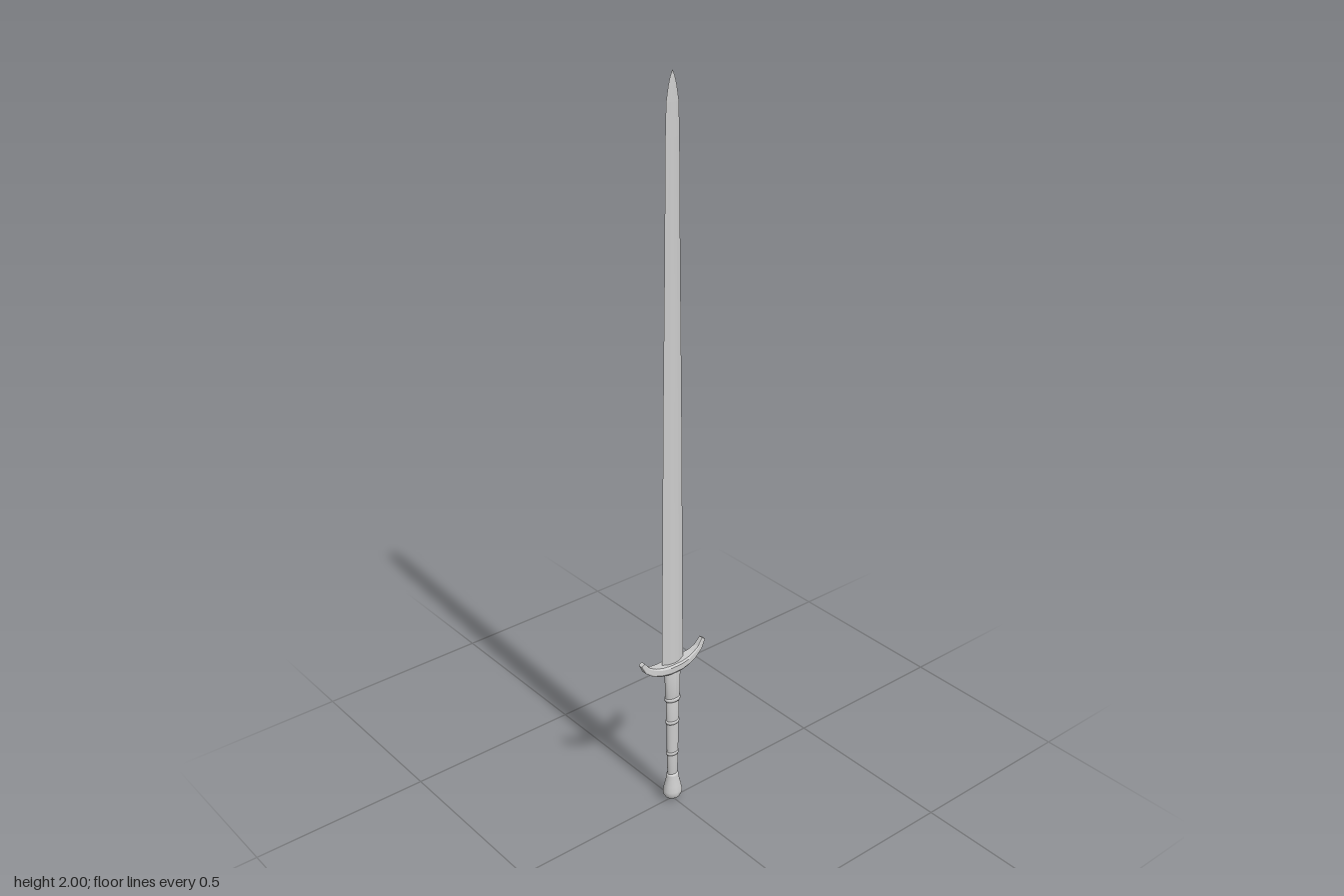
import * as THREE from 'three';

const material = new THREE.MeshStandardMaterial({ color: 0xcccccc });
const flatMaterial = new THREE.MeshStandardMaterial({ color: 0xcccccc, flatShading: true });

// Skin a row of equal-length rings and cap both ends
function loft(rings) {
  const n = rings[0].length;
  const index = [];
  for (let i = 0; i < rings.length - 1; i++) {
    for (let j = 0; j < n; j++) {
      const k = (j + 1) % n;
      const a = i * n + j, b = i * n + k;
      index.push(a, b, b + n, a, b + n, a + n);
    }
  }
  const last = (rings.length - 1) * n;
  for (let j = 1; j < n - 1; j++) {
    index.push(0, j + 1, j, last, last + j, last + j + 1);
  }
  const geometry = new THREE.BufferGeometry();
  geometry.setAttribute('position', new THREE.Float32BufferAttribute(rings.flat(2), 3));
  geometry.setIndex(index);
  const flat = geometry.toNonIndexed();
  flat.computeVertexNormals();
  return flat;
}

// Turned part squashed front to back
function turned(name, profile, depth) {
  const geometry = new THREE.LatheGeometry(profile.map(([r, y]) => new THREE.Vector2(r, y)), 20);
  geometry.scale(1, 1, depth);
  geometry.computeVertexNormals();
  const mesh = new THREE.Mesh(geometry, material);
  mesh.name = name;
  return mesh;
}

function createBlade() {
  // height, half width, half thickness
  const stations = [
    [0.43, 0.036, 0.0105], [0.8, 0.033, 0.0095], [1.2, 0.029, 0.008], [1.55, 0.024, 0.0065],
    [1.85, 0.021, 0.005], [1.93, 0.0185, 0.004], [1.965, 0.0125, 0.003],
    [1.985, 0.007, 0.002], [2, 0.0005, 0.0005],
  ];
  // Lens section with a central ridge
  const section = [[1, 0], [0.4, -0.8], [0, -1], [-0.4, -0.8], [-1, 0], [-0.4, 0.8], [0, 1], [0.4, 0.8]];
  const rings = stations.map(([y, w, t]) => section.map(([x, z]) => [x * w, y, z * t]));
  const mesh = new THREE.Mesh(loft(rings), flatMaterial);
  mesh.name = 'blade';
  return mesh;
}

function createGuard() {
  // x, y, half height, half depth from the centre to one tip
  const half = [
    [0, 0.434, 0.0135, 0.02], [0.02, 0.434, 0.0135, 0.0195], [0.045, 0.437, 0.0125, 0.0165],
    [0.068, 0.444, 0.011, 0.0125], [0.088, 0.457, 0.009, 0.0095], [0.103, 0.48, 0.006, 0.007],
  ];
  const mirrored = half.slice(1).reverse().map(([x, ...rest]) => [-x, ...rest]);
  const path = [...mirrored, ...half];
  const section = [[1, -0.8], [1, 0.8], [0.6, 1], [-0.6, 1], [-1, 0.8], [-1, -0.8], [-0.6, -1], [0.6, -1]];
  const rings = path.map(([x, y, h, d], i) => {
    const p = path[Math.max(i - 1, 0)], q = path[Math.min(i + 1, path.length - 1)];
    const angle = Math.atan2(q[1] - p[1], q[0] - p[0]);
    return section.map(([u, v]) => [x - Math.sin(angle) * u * h, y + Math.cos(angle) * u * h, v * d]);
  });
  const mesh = new THREE.Mesh(loft(rings), flatMaterial);
  mesh.name = 'crossguard';
  return mesh;
}

export function createModel() {
  const group = new THREE.Group();
  group.name = 'sword';
  group.add(createBlade(), createGuard());

  // Grip in two steps, thicker below the guard
  group.add(turned('upperGrip', [[0, 0.33], [0.0225, 0.33], [0.025, 0.43], [0, 0.43]], 0.6));
  group.add(turned('lowerGrip', [[0, 0.075], [0.0155, 0.075], [0.0175, 0.155], [0.019, 0.25], [0.0205, 0.335], [0, 0.335]], 0.68));

  // Raised bands around the grip
  for (const [y, r] of [[0.155, 0.0195], [0.258, 0.0215], [0.332, 0.0245]]) {
    group.add(turned('gripBand', [[0, y - 0.005], [r - 0.001, y - 0.005], [r, y], [r - 0.001, y + 0.005], [0, y + 0.005]], 0.68));
  }

  // Pear-shaped pommel
  group.add(turned('pommel', [
    [0, 0], [0.012, 0.003], [0.022, 0.01], [0.0275, 0.021], [0.0275, 0.031],
    [0.024, 0.048], [0.0195, 0.066], [0.0175, 0.079], [0.0165, 0.086], [0, 0.087],
  ], 0.87));
  return group;
}
